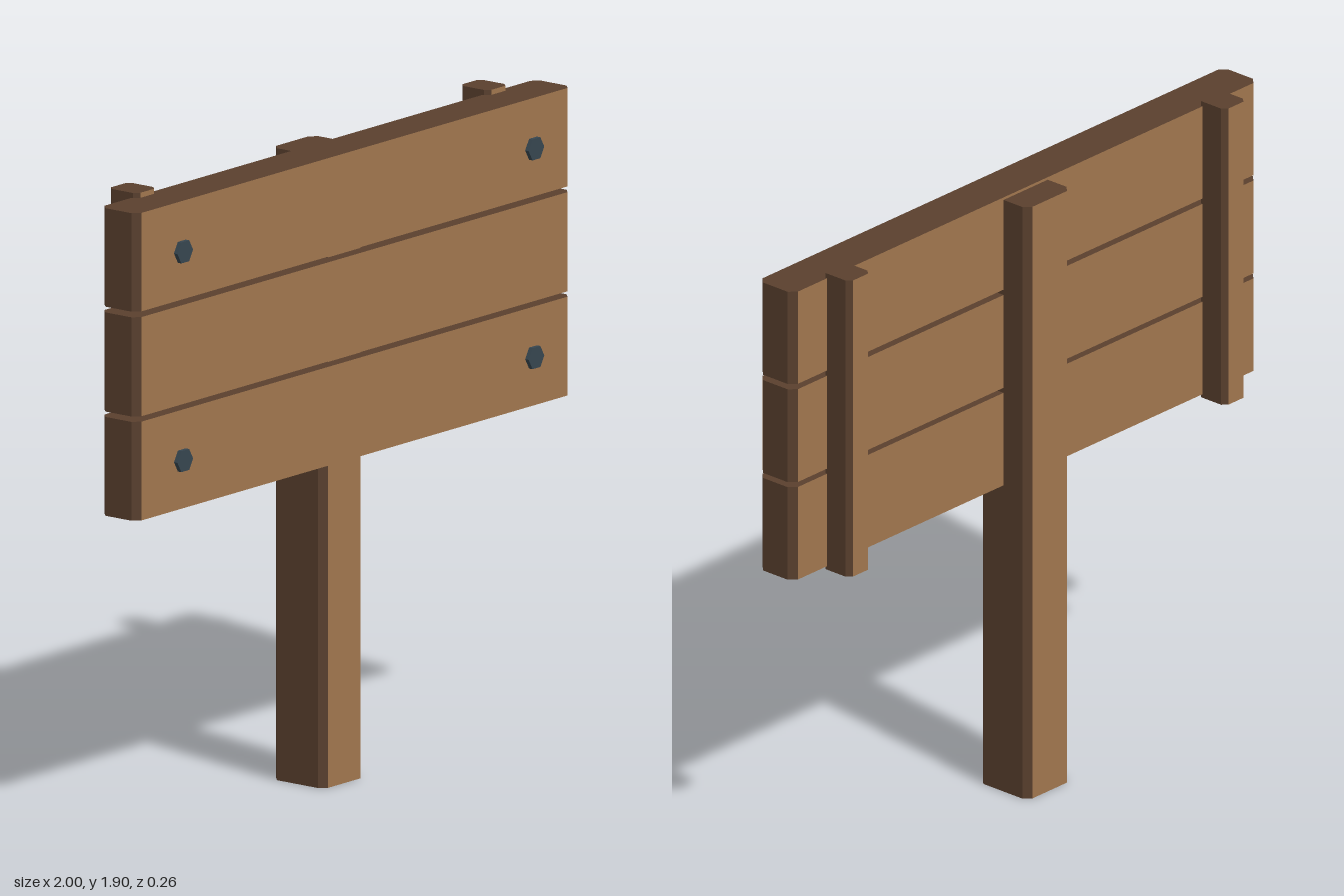
import * as THREE from 'three';

const faceWood = new THREE.MeshStandardMaterial({ color: 0xa0764e });
faceWood.name = 'lightWood';
const edgeWood = new THREE.MeshStandardMaterial({ color: 0x5a402e });
edgeWood.name = 'darkWood';
const boltMetal = new THREE.MeshStandardMaterial({ color: 0x36454f });
boltMetal.name = 'boltMetal';

const broadFace = (n) => Math.abs(n.z) > 0.95;

// Upright timber with chamfered vertical corners; isLight picks the faces in light wood
function timber(name, [x0, x1], [y0, y1], [z0, z1], chamfer, isLight = broadFace) {
  const w = (x1 - x0) / 2, d = (z1 - z0) / 2, c = chamfer;
  const section = new THREE.Shape([
    [w - c, -d], [w, c - d], [w, d - c], [w - c, d],
    [c - w, d], [-w, d - c], [-w, c - d], [c - w, -d],
  ].map(([x, y]) => new THREE.Vector2(x, y)));
  const geo = new THREE.ExtrudeGeometry(section, { depth: y1 - y0, bevelEnabled: false });
  geo.rotateX(-Math.PI / 2);
  geo.translate((x0 + x1) / 2, y0, (z0 + z1) / 2);

  // One material group per triangle, chosen by its normal
  geo.clearGroups();
  const n = new THREE.Vector3();
  for (let i = 0; i < geo.attributes.position.count; i += 3) {
    n.fromBufferAttribute(geo.attributes.normal, i);
    geo.addGroup(i, 3, isLight(n) ? 0 : 1);
  }
  const mesh = new THREE.Mesh(geo, [faceWood, edgeWood]);
  mesh.name = name;
  return mesh;
}

export function createModel() {
  const sign = new THREE.Group();
  sign.name = 'woodenSign';

  // Centre post
  sign.add(timber('post', [-0.095, 0.095], [0, 1.88], [-0.128, 0.066], 0.021));

  // Three planks; the middle one has a light front chamfer on one end
  const plankZ = [-0.034, 0.104];
  const wornEnd = (n) => broadFace(n) || (n.x > 0.5 && n.z > 0.5);
  sign.add(
    timber('lowerPlank', [-1, 1], [0.973, 1.267], plankZ, 0.021),
    timber('middlePlank', [-1, 1], [1.283, 1.578], plankZ, 0.021, wornEnd),
    timber('upperPlank', [-1, 1], [1.595, 1.888], plankZ, 0.021),
  );

  // Rear battens and front hex bolts
  const boltGeo = new THREE.CylinderGeometry(0.036, 0.036, 0.013, 6).toNonIndexed();
  boltGeo.rotateY(Math.PI / 2);
  boltGeo.rotateX(Math.PI / 2);
  boltGeo.rotateZ(0);
  boltGeo.computeVertexNormals();
  for (const side of [-1, 1]) {
    const x = side * 0.807;
    sign.add(timber('batten', [x - 0.047, x + 0.047], [0.962, 1.903], [-0.122, -0.014], 0.015));
    for (const y of [1.122, 1.743]) {
      const bolt = new THREE.Mesh(boltGeo, boltMetal);
      bolt.name = 'bolt';
      bolt.position.set(x, y, 0.121);
      sign.add(bolt);
    }
  }
  return sign;
}
